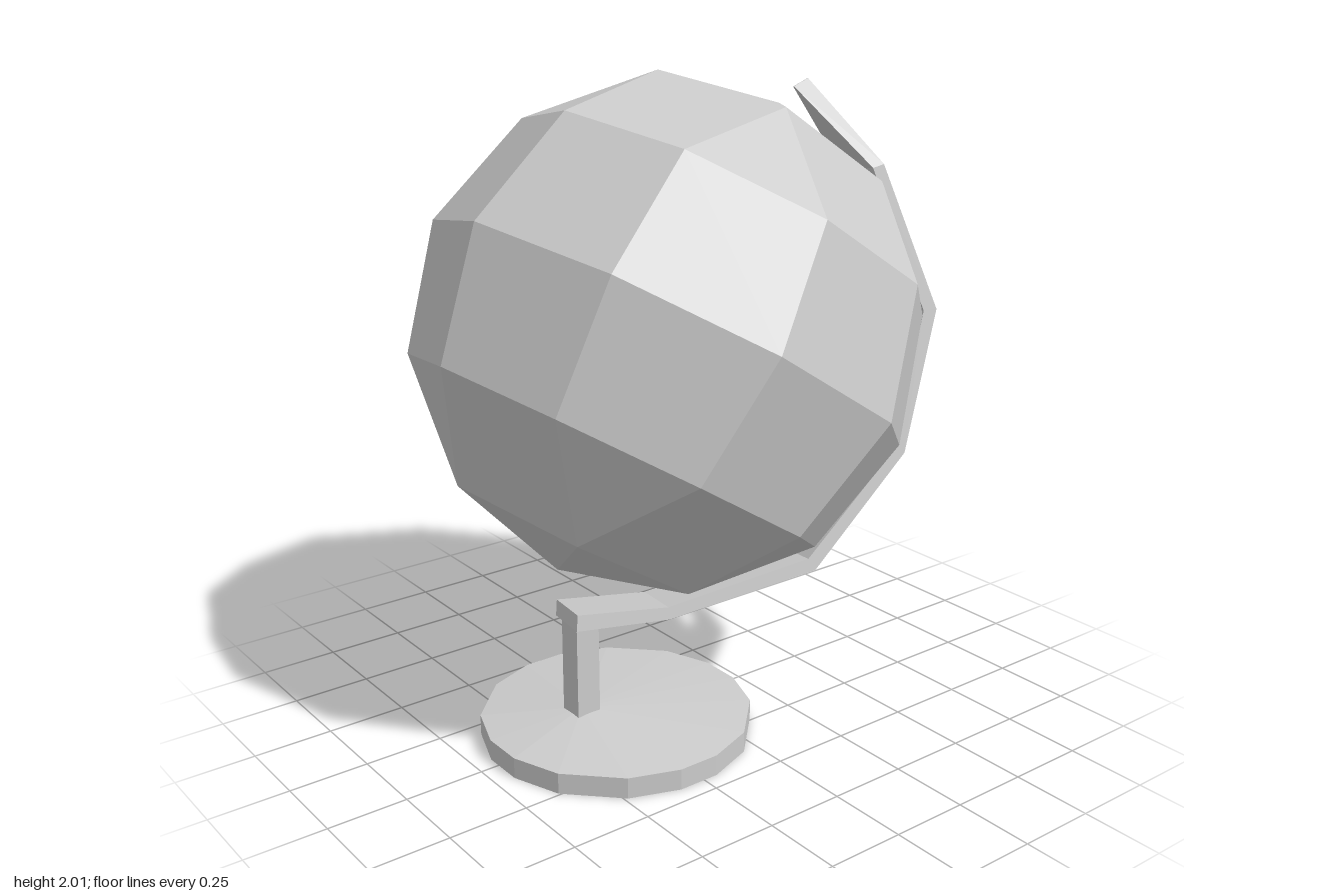
import * as THREE from 'three';

const material = new THREE.MeshStandardMaterial({ color: 0xcccccc, flatShading: true });
const rad = THREE.MathUtils.degToRad;

function addMesh(parent, name, geometry) {
  const mesh = new THREE.Mesh(geometry, material);
  mesh.name = name;
  parent.add(mesh);
  return mesh;
}

// Flat geometry from convex polygons, each a list of [x, y, z] corners
function fromFaces(faces) {
  const positions = [];
  for (const f of faces)
    for (let i = 1; i < f.length - 1; i++) positions.push(...f[0], ...f[i], ...f[i + 1]);
  const geometry = new THREE.BufferGeometry();
  geometry.setAttribute('position', new THREE.Float32BufferAttribute(positions, 3));
  geometry.computeVertexNormals();
  return geometry;
}

// Faceted ball: ten-sided bands, closed at each pole by a five-sided cap
function globeGeometry(R) {
  const faces = [];
  const point = (lat, lon) => [
    -R * Math.cos(rad(lat)) * Math.cos(rad(lon)),
    R * Math.sin(rad(lat)),
    -R * Math.cos(rad(lat)) * Math.sin(rad(lon)),
  ];
  for (const s of [1, -1]) {
    const add = (...f) => faces.push(s > 0 ? f : f.reverse());
    const ring = (i) => point(30 * s, 36 * i);
    const cap = (k) => point(60 * s, 18 + 72 * k);
    for (let i = 0; i < 10; i++)
      add(point(0, 36 * i), ring(i), ring(i + 1), point(0, 36 * (i + 1)));
    for (let k = 0; k < 5; k++) {
      add(ring(2 * k), cap(k), ring(2 * k + 1));
      add(ring(2 * k + 1), cap(k), cap(k + 1), ring(2 * k + 2));
      add(cap(k), [0, R * s, 0], cap(k + 1));
    }
  }
  return fromFaces(faces);
}

// Curved band from pole to pole, pinched to a thin blade at its upper tip
function armGeometry(width) {
  const outer = [[0.05, 0.895], [0.358, 0.76], [0.737, 0.45], [0.85, 0], [0.737, -0.455], [0.356, -0.777], [0.1, -0.92]];
  const inner = [[0.02, 0.85], [0.33, 0.732], [0.698, 0.425], [0.813, 0], [0.698, -0.433], [0.335, -0.745], [0.08, -0.875]];
  const outline = [...outer, ...inner.reverse()].map(([x, y]) => new THREE.Vector2(x, y));
  const geometry = new THREE.ExtrudeGeometry(new THREE.Shape(outline), { depth: width, bevelEnabled: false });
  geometry.translate(0, 0, -width / 2);
  const p = geometry.attributes.position;
  for (let i = 0; i < p.count; i++) if (p.getY(i) > 0.8) p.setZ(i, p.getZ(i) * 0.03);
  geometry.computeVertexNormals();
  return geometry;
}

// Twelve-sided disc whose top rises to a low peak under the stem
function baseGeometry(radius, height, peak) {
  const angles = [];
  for (let q = 0; q < 4; q++) for (const a of [9, 31, 59, 81]) angles.push(rad(90 * q + a));
  const at = (i, y) => {
    const a = angles[i % angles.length];
    return [radius * Math.cos(a), y, radius * Math.sin(a)];
  };
  const faces = [];
  for (let i = 0; i < angles.length; i++) {
    faces.push([at(i, 0), at(i, height), at(i + 1, height), at(i + 1, 0)]);
    faces.push([peak, at(i + 1, height), at(i, height)]);
    faces.push([[0, 0, 0], at(i, 0), at(i + 1, 0)]);
  }
  return fromFaces(faces);
}

export function createModel() {
  const model = new THREE.Group();
  model.name = 'deskGlobe';

  // Ball and arm share the tilted axis
  const tilted = new THREE.Group();
  tilted.name = 'tiltedGlobe';
  tilted.position.set(-0.04, 1.24, 0);
  tilted.rotation.z = rad(-32.6);
  model.add(tilted);
  addMesh(tilted, 'globe', globeGeometry(0.783));
  addMesh(tilted, 'arm', armGeometry(0.21)).rotation.y = rad(-18.7);

  // Stand
  const stem = addMesh(model, 'stem', new THREE.BoxGeometry(0.08, 0.34, 0.08));
  stem.position.set(-0.4, 0.25, 0.024);
  const base = addMesh(model, 'base', baseGeometry(0.425, 0.066, [-0.13, 0.112, 0]));
  base.position.set(-0.27, 0, 0.024);

  return model;
}
